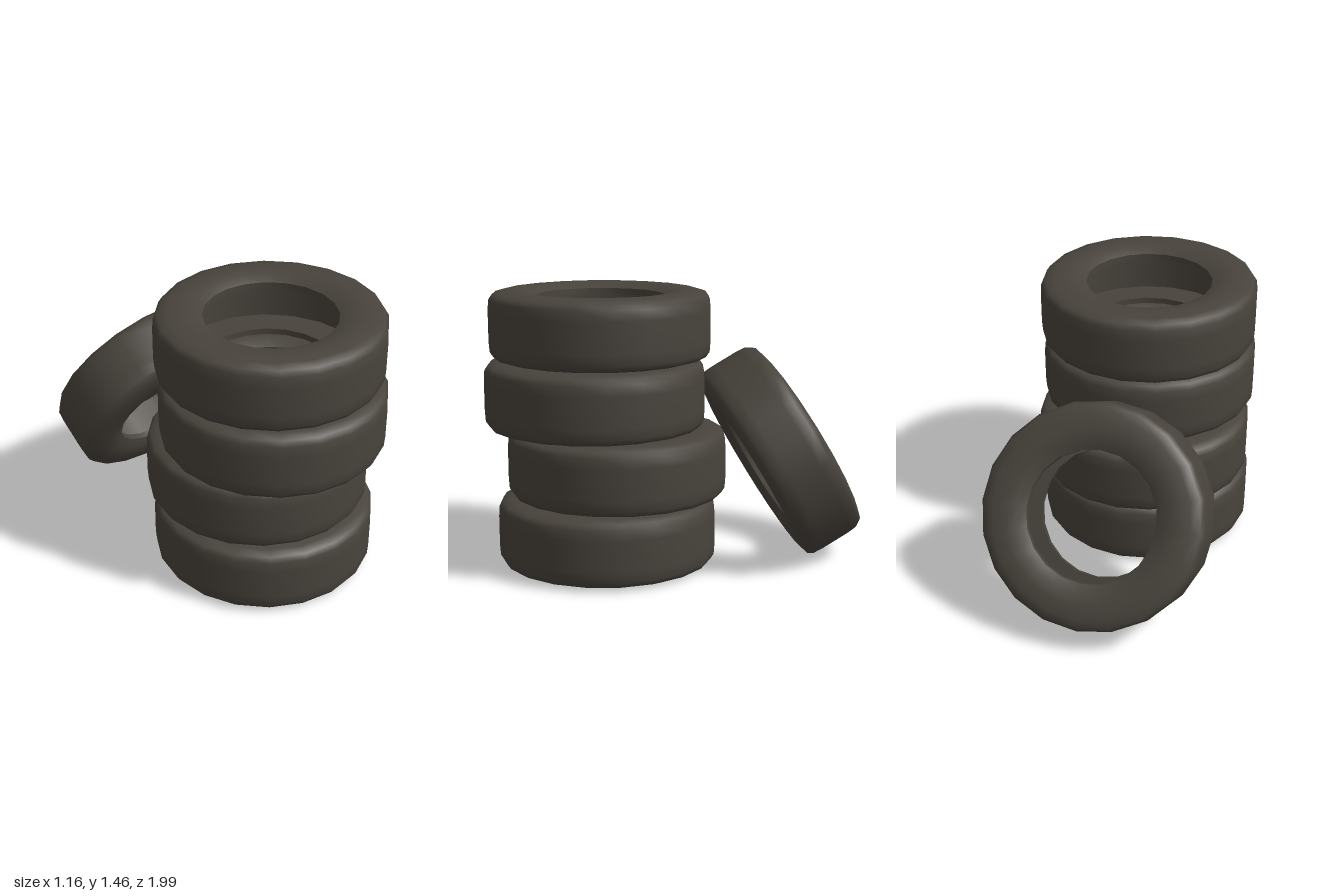
import * as THREE from 'three';
import { mergeGeometries } from 'three/addons/utils/BufferGeometryUtils.js';

const SIDES = 20;

// Smooth surface of revolution from [radius, height] pairs
const ring = (pts) =>
  new THREE.LatheGeometry(pts.map(([r, h]) => new THREE.Vector2(r, h)), SIDES);

// Hollow tyre centred on its axle (y); separate rings keep the bead edges sharp
function tyreGeometry() {
  const upper = [[0.578, 0.08], [0.574, 0.135], [0.556, 0.162], [0.51, 0.175],
    [0.445, 0.182], [0.385, 0.174], [0.335, 0.15]];
  const lower = upper.map(([r, h]) => [r, -h]).reverse();
  return mergeGeometries([
    ring([...lower, ...upper]),                  // tread and sidewalls
    ring([[0.335, 0.15], [0.335, 0.118]]),       // upper bead
    ring([[0.335, 0.118], [0.5, 0.125]]),        // inside of upper sidewall
    ring([[0.5, 0.125], [0.5, -0.125]]),         // inner liner
    ring([[0.5, -0.125], [0.335, -0.118]]),      // inside of lower sidewall
    ring([[0.335, -0.118], [0.335, -0.15]]),     // lower bead
  ]);
}

export function createModel() {
  const group = new THREE.Group();
  group.name = 'tyrePile';
  const rubber = new THREE.MeshStandardMaterial({ color: 0x48433c });
  rubber.name = 'dark rubber';
  const geometry = tyreGeometry();

  const addTyre = (name, y, z, tilt = 0) => {
    const tyre = new THREE.Mesh(geometry, rubber);
    tyre.name = name;
    tyre.position.set(0, y, z);
    tyre.rotation.x = tilt;
    group.add(tyre);
  };

  // Uneven stack, bottom to top
  [0.364, 0.308, 0.422, 0.392].forEach((z, i) =>
    addTyre(`stackedTyre${i + 1}`, 0.19 + i * 0.364, z));

  // Tyre leaning against the back of the stack
  addTyre('leaningTyre', 0.57, -0.576, -Math.PI / 3);

  return group;
}
